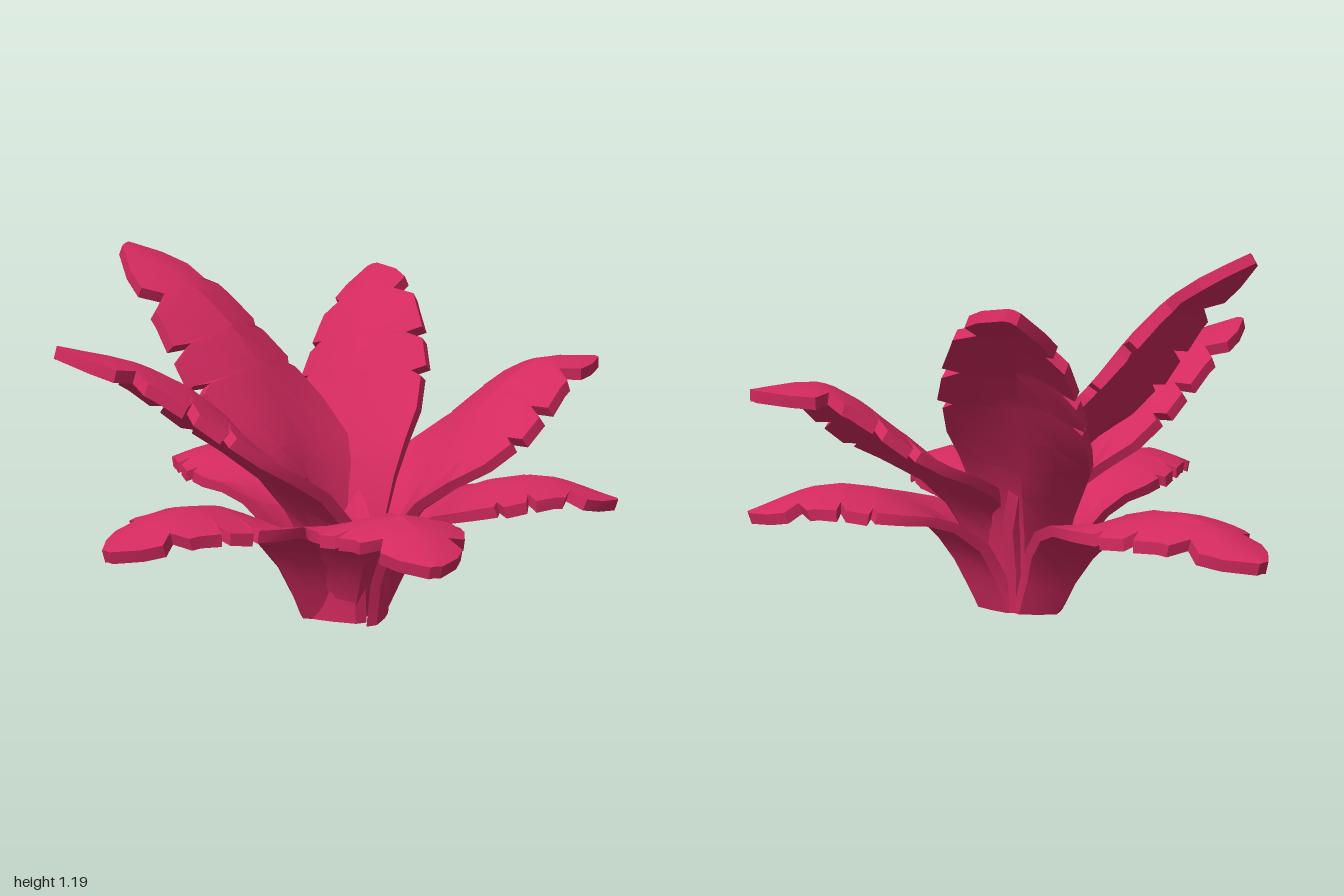
import * as THREE from 'three';
import { toCreasedNormals } from 'three/addons/utils/BufferGeometryUtils.js';

const { lerp, clamp, smoothstep } = THREE.MathUtils;
const THICKNESS = 0.038;

// Half width of the notched blade: [distance from the base 0..1, half width]
const OUTLINE = [
  [0, 0.115], [0.1, 0.125], [0.2, 0.16], [0.3, 0.2], [0.38, 0.23], [0.47, 0.25],
  [0.56, 0.24], [0.575, 0.205], [0.59, 0.25], [0.67, 0.225], [0.685, 0.17], [0.705, 0.22],
  [0.78, 0.19], [0.81, 0.18], [0.83, 0.11], [0.885, 0.14], [0.94, 0.1], [1, 0.02],
];
const COLUMNS = [-1, -0.5, 0, 0.5, 1];

// Height of the blade beside its midrib: a folded stalk that opens into drooping edges
function lift(t, x) {
  const fold = lerp(0.7, -0.12, smoothstep(t, 0, 0.5));
  const curl = lerp(2.5, -0.9, smoothstep(t, 0.05, 0.7));
  return fold * Math.abs(x) + curl * x * x;
}

// One thick leaf along a midrib of [outward, height] points, from baseZ towards (tipX, tipZ),
// its blade twisting by roll about the midrib
function leafGeometry(midrib, baseZ, tipX, tipZ, width, roll) {
  const heading = new THREE.Vector3(tipX, 0, tipZ - baseZ);
  const scale = heading.length() / midrib[midrib.length - 1][0];
  heading.normalize();
  const level = new THREE.Vector3(heading.z, 0, -heading.x);
  const curve = new THREE.CatmullRomCurve3(midrib.map(([r, y], i) =>
    heading.clone().multiplyScalar(i ? r * scale : r).add(new THREE.Vector3(0, y, baseZ))));

  const positions = [], index = [];
  const ring = COLUMNS.length * 2;
  OUTLINE.forEach(([t, half]) => {
    const top = [], under = [];
    for (const s of COLUMNS) {
      // notches sit a little higher on one side than on the other
      const u = clamp(t + 0.02 * s * Math.sin(Math.PI * t), 0, 1);
      const tangent = curve.getTangentAt(u);
      const side = level.clone().applyAxisAngle(tangent, -roll * smoothstep(u, 0.1, 0.5));
      const normal = tangent.cross(side).normalize();
      const x = s * half * width;
      const p = curve.getPointAt(u).addScaledVector(side, x).addScaledVector(normal, lift(u, x));
      top.push(p);
      under.unshift(p.clone().addScaledVector(normal, -THICKNESS));
    }
    for (const p of [...top, ...under]) positions.push(p.x, t === 0 ? 0 : Math.max(0, p.y), p.z);
  });

  // skin between neighbouring cross-sections
  const last = OUTLINE.length - 1;
  for (let i = 0; i < last; i++) {
    for (let k = 0; k < ring; k++) {
      const a = i * ring + k, b = i * ring + (k + 1) % ring;
      index.push(a, a + ring, b + ring, a, b + ring, b);
    }
  }
  // closed ends
  for (let k = 0; k < COLUMNS.length - 1; k++) {
    const a = k, b = k + 1, c = ring - 2 - k, d = ring - 1 - k, e = last * ring;
    index.push(a, b, c, a, c, d);
    index.push(e + a, e + c, e + b, e + a, e + d, e + c);
  }
  const geometry = new THREE.BufferGeometry();
  geometry.setAttribute('position', new THREE.Float32BufferAttribute(positions, 3));
  geometry.setIndex(index);
  return toCreasedNormals(geometry, 0.4);
}

export function createModel() {
  const group = new THREE.Group();
  group.name = 'rosettePlant';
  const material = new THREE.MeshStandardMaterial({ color: 0xd32a5f });

  // midrib profiles: [outward, height]
  const low = [[0.13, 0], [0.2, 0.17], [0.31, 0.32], [0.45, 0.41], [0.66, 0.44], [0.91, 0.36]];
  const midLeft = [[0.09, 0], [0.12, 0.25], [0.25, 0.47], [0.45, 0.71], [0.68, 0.85], [0.94, 0.92]];
  const midRight = [[0.09, 0], [0.12, 0.22], [0.25, 0.43], [0.45, 0.64], [0.7, 0.8], [0.94, 0.8]];
  const tallLeft = [[0.06, 0], [0.08, 0.33], [0.16, 0.6], [0.31, 0.86], [0.5, 1.06], [0.73, 1.19]];
  const tallRight = [[0.07, 0], [0.11, 0.3], [0.23, 0.58], [0.4, 0.83], [0.6, 1.0], [0.84, 1.08]];

  // name, midrib, base z, tip x, tip z, width, roll
  const leaves = [
    ['lowFrontLeaf', low, 0.09, -0.13, 1, 0.86, 0],
    ['lowBackLeaf', low, 0.09, -0.13, -1, 0.86, 0],
    ['lowRightLeaf', low, 0.09, -0.9, 0.44, 0.82, 0],
    ['lowLeftLeaf', low, 0.09, 0.86, 0.42, 0.82, 0],
    ['middleRightLeaf', midLeft, 0.17, -0.94, 0.15, 0.94, 0],
    ['middleLeftLeaf', midRight, 0.21, 0.94, 0.15, 0.96, 0],
    ['tallRightLeaf', tallLeft, 0.09, -0.55, -0.39, 1, 0.3],
    ['tallLeftLeaf', tallRight, 0.09, 0.47, -0.62, 0.98, 0.35],
  ];
  for (const [name, midrib, baseZ, x, z, width, roll] of leaves) {
    const leaf = new THREE.Mesh(leafGeometry(midrib, baseZ, x, z, width, roll), material);
    leaf.name = name;
    group.add(leaf);
  }
  return group;
}
